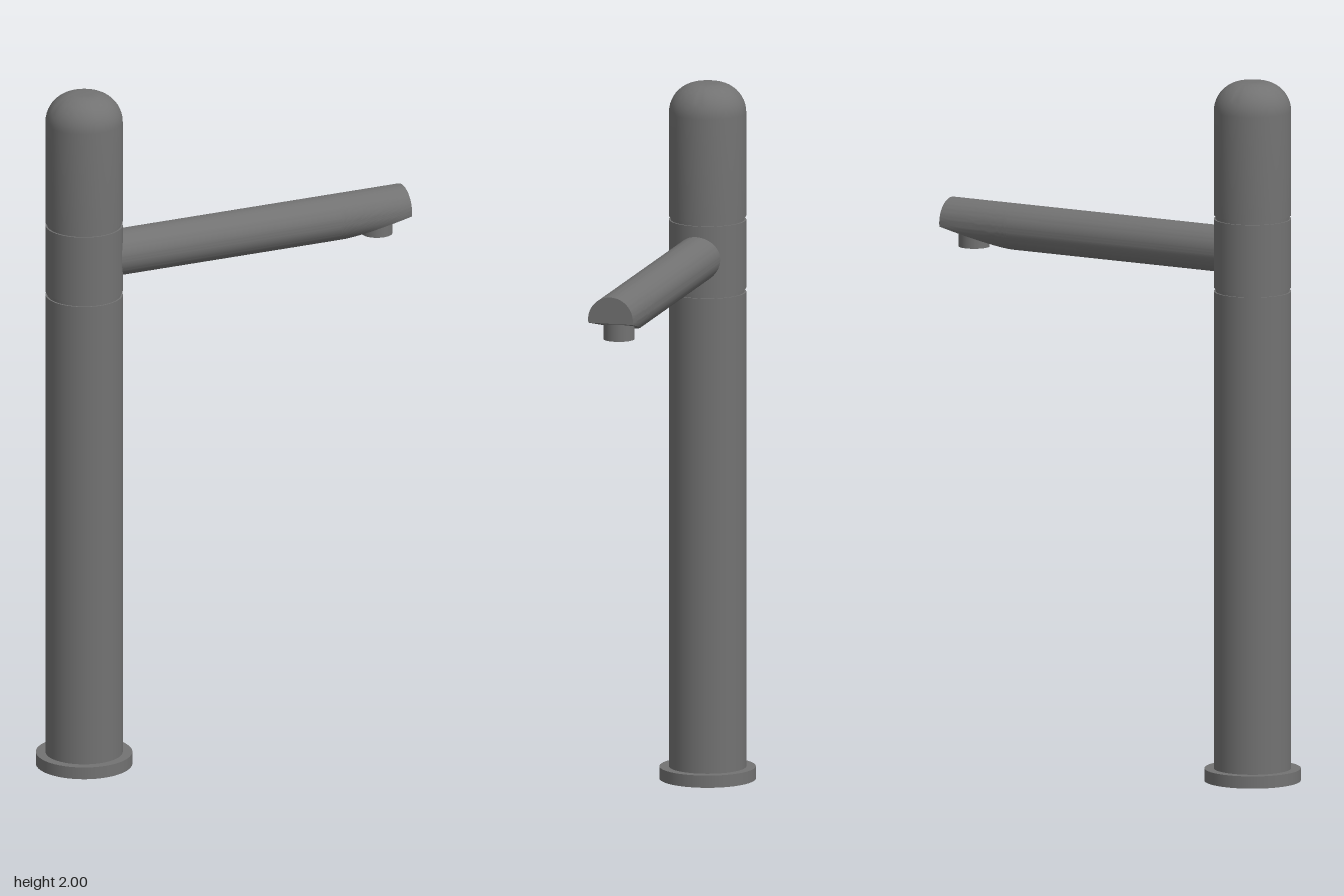
import * as THREE from 'three';
import { toCreasedNormals } from 'three/addons/utils/BufferGeometryUtils.js';

const AXIS_X = -0.429; // centre of the column
const BODY_R = 0.109;
const SPOUT_R = 0.0655;
const SPOUT_Y = 1.511;

// Tube along x whose underside is sliced by a sloping plane towards the tip
function spoutGeometry() {
  const x0 = -0.37, cutX = 0.347, x1 = 0.565, tipFloor = -0.01;
  const arc = 52, flat = 8, ring = arc + flat;
  const stations = [[x0, -SPOUT_R]];
  for (let i = 0; i <= 14; i++) {
    const t = (i / 14) ** 2;
    stations.push([cutX + (x1 - cutX) * t, -SPOUT_R + (tipFloor + SPOUT_R) * t]);
  }
  const pos = [], index = [];
  for (const [x, floor] of stations) {
    const a0 = Math.asin(floor / SPOUT_R);
    const half = Math.sqrt(Math.max(0, SPOUT_R ** 2 - floor ** 2));
    for (let j = 0; j < ring; j++) {
      if (j <= arc) {
        const a = a0 + (Math.PI - 2 * a0) * j / arc;
        pos.push(x, Math.sin(a) * SPOUT_R, -Math.cos(a) * SPOUT_R);
      } else {
        pos.push(x, floor, half - 2 * half * (j - arc) / flat);
      }
    }
  }
  for (let i = 0; i < stations.length - 1; i++) {
    for (let j = 0; j < ring; j++) {
      const k = (j + 1) % ring;
      const a = i * ring + j, b = i * ring + k, c = a + ring, d = b + ring;
      index.push(a, b, c, b, d, c);
    }
  }
  // flat tip
  const last = (stations.length - 1) * ring, centre = pos.length / 3;
  pos.push(x1, 0.025, 0);
  for (let j = 0; j < ring; j++) index.push(centre, last + j, last + (j + 1) % ring);
  const geo = new THREE.BufferGeometry();
  geo.setAttribute('position', new THREE.Float32BufferAttribute(pos, 3));
  geo.setIndex(index);
  return toCreasedNormals(geo, 0.2);
}

export function createModel() {
  const model = new THREE.Group();
  model.name = 'tallTap';
  const material = new THREE.MeshStandardMaterial({ color: 0x727272 });

  const add = (name, geometry, x, y, z = 0) => {
    const mesh = new THREE.Mesh(geometry, material);
    mesh.name = name;
    mesh.position.set(x, y, z);
    model.add(mesh);
  };
  const drum = (name, r, bottom, top, x = AXIS_X) =>
    add(name, new THREE.CylinderGeometry(r, r, top - bottom, 64), x, (bottom + top) / 2);

  // Column, with a slimmer core showing in the grooves
  drum('baseFlange', 0.136, 0, 0.035);
  drum('column', BODY_R, 0.035, 1.4);
  drum('grooveCore', 0.104, 1.38, 1.64);
  drum('spoutCollar', BODY_R, 1.411, 1.607);

  // Handle with a rounded top
  const fillet = 0.085, profile = [new THREE.Vector2(0, 1.618), new THREE.Vector2(BODY_R, 1.618)];
  for (let i = 0; i <= 12; i++) {
    const a = i / 12 * Math.PI / 2;
    profile.push(new THREE.Vector2(BODY_R - fillet + fillet * Math.cos(a), 2 - fillet + fillet * Math.sin(a)));
  }
  profile.push(new THREE.Vector2(0, 2));
  add('handle', toCreasedNormals(new THREE.LatheGeometry(profile, 64), 0.6), AXIS_X, 0);

  // Spout and outlet
  add('spout', spoutGeometry(), 0, SPOUT_Y, 0.003);
  drum('outletNozzle', 0.044, 1.443, 1.52, 0.488);

  return model;
}
